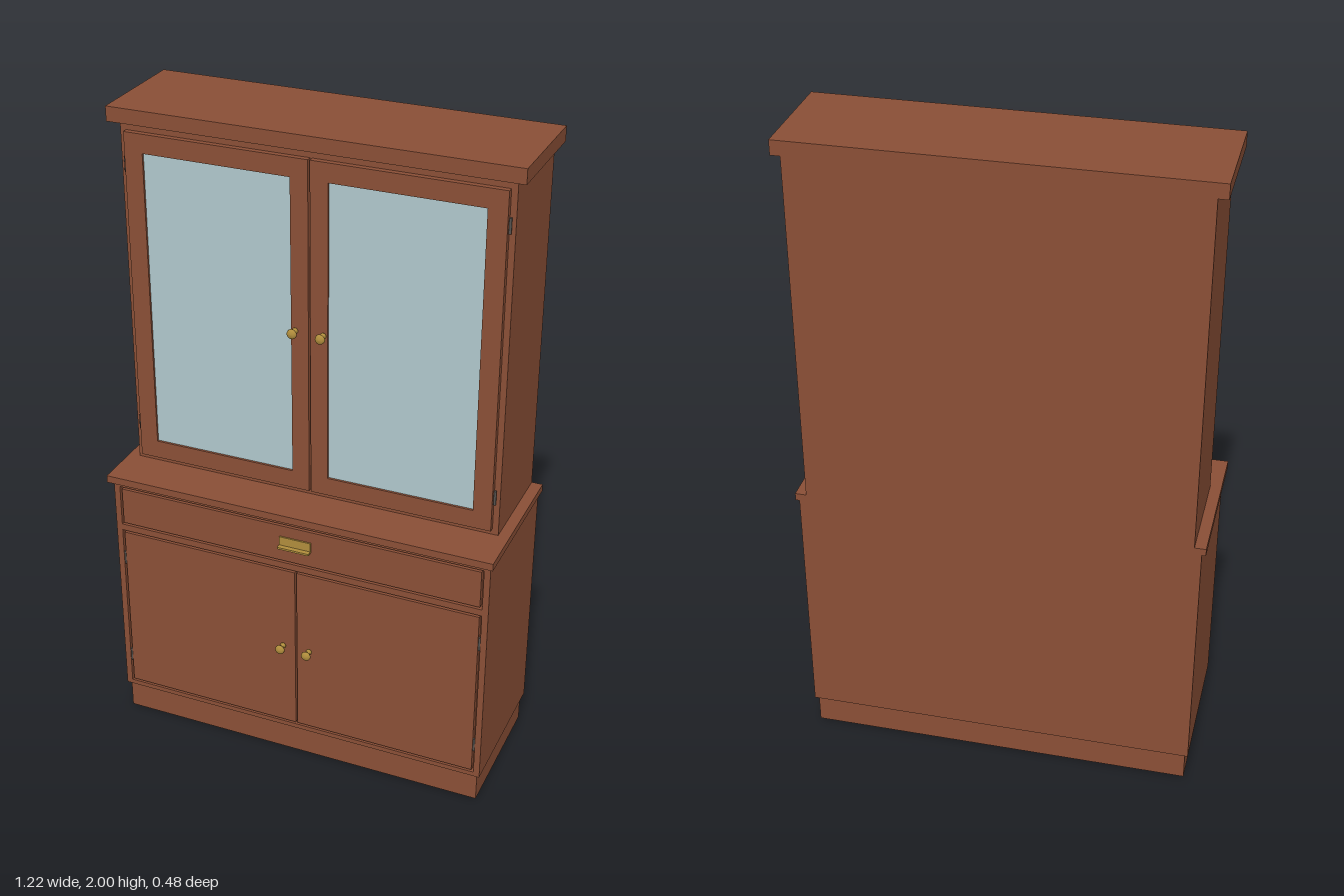
import * as THREE from 'three';

const BACK = -0.242;

export function createModel() {
  const model = new THREE.Group();
  model.name = 'displayCabinet';

  const mat = (name, color) => {
    const m = new THREE.MeshStandardMaterial({ color });
    m.name = name;
    return m;
  };
  const wood = mat('wood', 0x8a4f36);
  const glass = mat('glass', 0xb0c8cc);
  const brass = mat('brass', 0xb08d3c);
  const steel = mat('hingeSteel', 0x55524e);

  const add = (name, geometry, material, x = 0, y = 0, z = 0, parent = model) => {
    const mesh = new THREE.Mesh(geometry, material);
    mesh.name = name;
    mesh.position.set(x, y, z);
    parent.add(mesh);
    return mesh;
  };

  // Box given by its limits on each axis
  const box = (name, x0, x1, y0, y1, z0, z1, material = wood) =>
    add(name, new THREE.BoxGeometry(x1 - x0, y1 - y0, z1 - z0), material,
      (x0 + x1) / 2, (y0 + y1) / 2, (z0 + z1) / 2);

  // Flat frame with rectangular openings, each [x0, x1, y0, y1]
  const trace = (path, [x0, x1, y0, y1]) =>
    path.moveTo(x0, y0).lineTo(x1, y0).lineTo(x1, y1).lineTo(x0, y1).closePath();
  const frame = (name, outer, holes, z0, z1) => {
    const shape = new THREE.Shape();
    trace(shape, outer);
    for (const h of holes) {
      const hole = new THREE.Path();
      trace(hole, h);
      shape.holes.push(hole);
    }
    add(name, new THREE.ExtrudeGeometry(shape, { depth: z1 - z0, bevelEnabled: false }), wood, 0, 0, z0);
  };

  // Lower cabinet: plinth, carcass, face frame and counter
  box('plinth', -0.59, 0.59, 0, 0.095, -0.232, 0.197);
  box('lowerCarcass', -0.6, 0.6, 0.093, 0.856, BACK, 0.188);
  frame('lowerFaceFrame', [-0.6, 0.6, 0.093, 0.856],
    [[-0.581, 0.581, 0.108, 0.682], [-0.581, 0.581, 0.703, 0.837]], 0.188, 0.206);
  box('counter', -0.612, 0.612, 0.856, 0.879, BACK, 0.226);
  box('drawerFront', -0.574, 0.574, 0.71, 0.83, 0.186, 0.206);

  // Upper cabinet and crown
  box('upperCarcass', -0.578, 0.578, 0.879, 1.956, BACK, 0.079);
  box('crown', -0.607, 0.607, 1.956, 2, BACK, 0.105);

  // Round knob on a thin stem, turned about z
  const knobProfile = [[0, 0], [0.009, 0], [0.009, 0.003], [0.005, 0.006], [0.005, 0.017],
    [0.011, 0.019], [0.015, 0.024], [0.014, 0.029], [0.008, 0.033], [0, 0.034]]
    .map(([r, y]) => new THREE.Vector2(r, y));
  const knobGeometry = new THREE.LatheGeometry(knobProfile, 20);
  knobGeometry.rotateX(Math.PI / 2);
  const hingeGeometry = new THREE.CylinderGeometry(0.004, 0.004, 0.045, 10);

  for (const s of [-1, 1]) {
    const side = s > 0 ? 'left' : 'right';
    const span = (a, b) => (s > 0 ? [a, b] : [-b, -a]);

    // Plain lower door
    box(side + 'LowerDoor', ...span(0.003, 0.574), 0.115, 0.675, 0.186, 0.206);
    add(side + 'LowerKnob', knobGeometry, brass, s * 0.043, 0.4, 0.206);

    // Glazed upper door
    frame(side + 'UpperDoorFrame', [...span(0.003, 0.56), 0.898, 1.93],
      [[...span(0.056, 0.504), 0.955, 1.873]], 0.079, 0.096);
    box(side + 'GlassPane', ...span(0.056, 0.504), 0.955, 1.873, 0.082, 0.089, glass);
    add(side + 'UpperKnob', knobGeometry, brass, s * 0.043, 1.417, 0.096);

    // Hinge barrels
    for (const y of [1.005, 1.83]) add(side + 'UpperHinge', hingeGeometry, steel, s * 0.564, y, 0.085);
    for (const y of [0.21, 0.58]) add(side + 'LowerHinge', hingeGeometry, steel, s * 0.5775, y, 0.202);
  }

  // Drawer pull: back plate with a projecting lip
  box('pullPlate', -0.05, 0.05, 0.76, 0.794, 0.205, 0.211, brass);
  box('pullLip', -0.05, 0.05, 0.76, 0.766, 0.211, 0.226, brass);

  return model;
}
